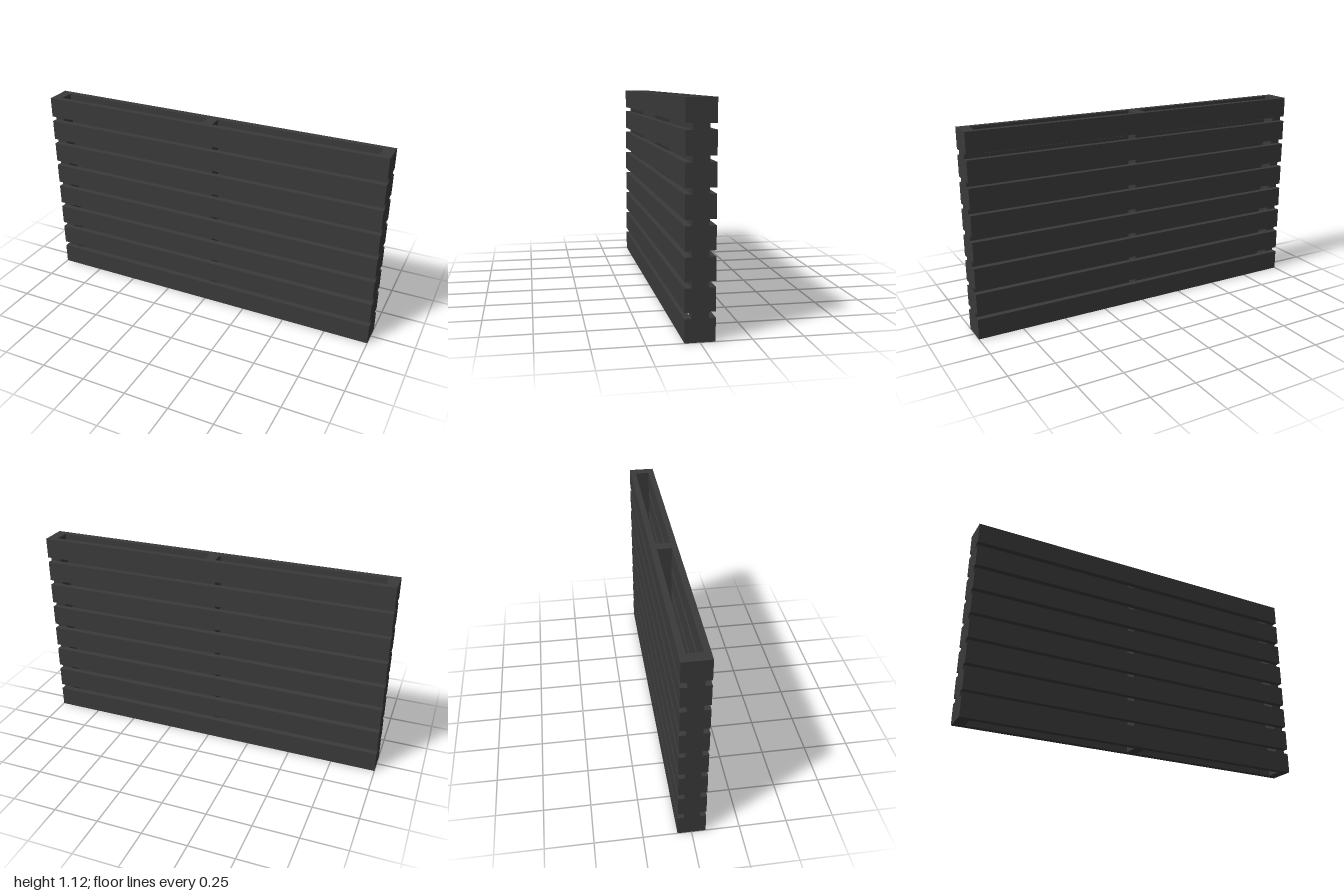
import * as THREE from 'three';

const LENGTH = 2, HEIGHT = 1.115;
const SLATS = 8, SLAT_HEIGHT = 0.114, SLAT_DEPTH = 0.033;
const POST_WIDTH = 0.06, POST_DEPTH = 0.08;

export function createModel() {
  const model = new THREE.Group();
  model.name = 'slattedPanel';
  const material = new THREE.MeshStandardMaterial({ color: 0x3a3a3a });

  const addBox = (name, size, position) => {
    const mesh = new THREE.Mesh(new THREE.BoxGeometry(...size), material);
    mesh.name = name;
    mesh.position.set(...position);
    model.add(mesh);
  };

  // Three upright posts: both ends and the middle
  const endX = (LENGTH - POST_WIDTH) / 2;
  for (const [name, x] of [['rightPost', -endX], ['middlePost', 0], ['leftPost', endX]]) {
    addBox(name, [POST_WIDTH, HEIGHT, POST_DEPTH], [x, HEIGHT / 2, 0]);
  }

  // Evenly spaced horizontal slats on the front and back of the posts
  const pitch = (HEIGHT - SLAT_HEIGHT) / (SLATS - 1);
  const slatZ = (POST_DEPTH + SLAT_DEPTH) / 2;
  for (const [name, side] of [['frontSlat', 1], ['backSlat', -1]]) {
    for (let i = 0; i < SLATS; i++) {
      addBox(name + (i + 1), [LENGTH, SLAT_HEIGHT, SLAT_DEPTH],
        [0, SLAT_HEIGHT / 2 + i * pitch, side * slatZ]);
    }
  }
  return model;
}
